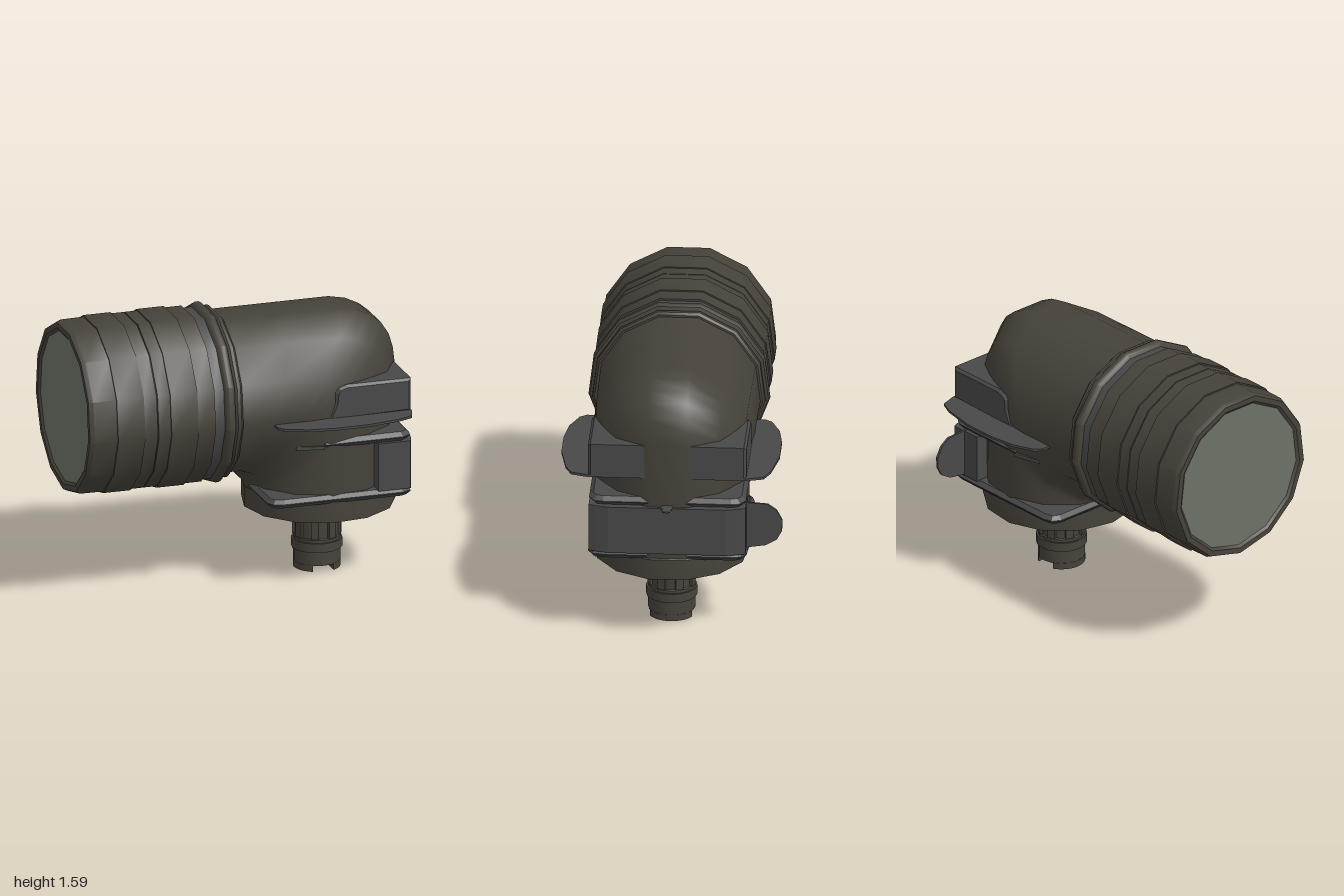
import * as THREE from 'three';
import { toCreasedNormals } from 'three/addons/utils/BufferGeometryUtils.js';

const SIDES = 13;
const mat = (color) => new THREE.MeshStandardMaterial({ color, side: THREE.DoubleSide });
const olive = mat(0x46423a);
const grey = mat(0x484848);
const glass = mat(0x6c7266);

const v2 = (list) => list.map(([x, y]) => new THREE.Vector2(x, y));

function mesh(name, geometry, material) {
  const m = new THREE.Mesh(geometry, material);
  m.name = name;
  return m;
}

// Turned part with smooth sides and sharp steps
function turned(points, sides, start) {
  return toCreasedNormals(new THREE.LatheGeometry(v2(points), sides, start), 0.6);
}

// Turned part lying along x, with a corner at the bottom
function turnedX(points) {
  return turned(points, SIDES, Math.PI / 2).rotateZ(-Math.PI / 2);
}

// Horizontal slab from half an outline (x, z), mirrored across z
function slab(half, y, height, bevel = 0) {
  const outline = [...half, ...half.map(([x, z]) => [x, -z]).reverse()];
  const geometry = new THREE.ExtrudeGeometry(new THREE.Shape(v2(outline)), {
    depth: height - 2 * bevel, bevelEnabled: bevel > 0, bevelThickness: bevel,
    bevelSize: bevel, bevelOffset: -bevel, bevelSegments: 1,
  });
  return geometry.rotateX(-Math.PI / 2).translate(0, y + bevel, 0);
}

// Elbow: rings spanned between an inner and an outer curve
function elbowGeometry() {
  const rings = [
    [-0.1, 0.627, -0.1, 1.54], [-0.04, 0.625, 0.25, 1.54], [0.0, 0.605, 0.6, 1.54],
    [0.02, 0.59, 0.70, 1.52], [0.035, 0.575, 0.78, 1.48], [0.045, 0.56, 0.84, 1.43],
    [0.055, 0.55, 0.885, 1.36], [0.06, 0.54, 0.91, 1.28], [0.065, 0.53, 0.92, 1.2],
    [0.07, 0.51, 0.92, 0.9], [0.07, 0.48, 0.92, 0.48],
  ];
  const positions = [], index = [];
  const flat = 1 + Math.cos(Math.PI / SIDES);
  rings.forEach(([ix, iy, ox, oy], i) => {
    const dx = (ox - ix) / flat, dy = (oy - iy) / flat;
    const rz = THREE.MathUtils.lerp(0.463, 0.432, i / (rings.length - 1));
    for (let k = 0; k < SIDES; k++) {
      const t = Math.PI + (k / SIDES) * Math.PI * 2;
      positions.push(ix + dx + dx * Math.cos(t), iy + dy + dy * Math.cos(t), rz * Math.sin(t));
      if (i === rings.length - 1) continue;
      const a = i * SIDES + k, b = i * SIDES + (k + 1) % SIDES;
      index.push(a, b, a + SIDES, b, b + SIDES, a + SIDES);
    }
  });
  const g = new THREE.BufferGeometry();
  g.setAttribute('position', new THREE.Float32BufferAttribute(positions, 3));
  g.setIndex(index);
  g.computeVertexNormals();
  return g;
}

function makeTube() {
  const g = new THREE.Group();
  g.name = 'tube';
  g.add(mesh('barrel', turnedX([
    [0.43, -0.985], [0.45, -1], [0.482, -1], [0.494, -0.975], [0.496, -0.84],
    [0.505, -0.84], [0.505, -0.68], [0.498, -0.68], [0.498, -0.603], [0.487, -0.603],
    [0.487, -0.597], [0.498, -0.597], [0.498, -0.525], [0.507, -0.525], [0.507, -0.365],
    [0.499, -0.365], [0.499, -0.262], [0.485, -0.262],
  ]), olive));
  g.add(mesh('recessedBand', turnedX([[0.487, -0.265], [0.487, -0.19]]), grey));
  g.add(mesh('rings', turnedX([
    [0.485, -0.205], [0.504, -0.195], [0.513, -0.18], [0.513, -0.16], [0.504, -0.145],
    [0.482, -0.138], [0.49, -0.125], [0.488, -0.105], [0.475, -0.092], [0.45, -0.09],
  ]), olive));
  const lens = new THREE.CircleGeometry(0.452, SIDES, -Math.PI / 2);
  g.add(mesh('lens', lens.rotateY(-Math.PI / 2).translate(-0.988, 0, 0), glass));
  g.position.y = 1.09;
  return g;
}

function makeBracket() {
  const g = new THREE.Group();
  g.name = 'bracket';
  // Thin wings beside the elbow
  g.add(mesh('wingPlate', slab([
    [0.1, 0.5], [0.13, 0.54], [0.25, 0.59], [0.4, 0.612], [0.6, 0.612],
    [0.8, 0.575], [0.88, 0.54], [0.908, 0.45],
  ], 1.0, 0.014), grey));
  // Block rising above the wings
  const side = new THREE.Shape(v2([
    [0.38, 1.005], [0.43, 1.03], [0.46, 1.1], [0.465, 1.16], [0.485, 1.185],
    [0.53, 1.2], [0.908, 1.2], [0.908, 1.005],
  ]));
  const block = new THREE.ExtrudeGeometry(side, {
    depth: 0.86, bevelThickness: 0.015, bevelSize: 0.015, bevelOffset: -0.015, bevelSegments: 1,
  });
  g.add(mesh('shoulderBlock', block.translate(0, 0, -0.43), grey));
  // Clamp: front wall between an upper and a lower plate
  const wall = [[0.715, 0.44], [0.905, 0.44], [0.92, 0.4], [0.937, 0.33]];
  g.add(mesh('clampWall', slab(wall, 0.55, 0.28), grey));
  g.add(mesh('upperPlate', slab([
    [0.4, 0.44], [0.86, 0.44], [0.91, 0.41], [0.92, 0.36],
  ], 0.83, 0.052, 0.024), grey));
  g.add(mesh('upperPlateEdge', slab([
    [0.15, 0.3], [0.25, 0.4], [0.4, 0.44],
  ], 0.83, 0.02), grey));
  g.add(mesh('lowerPlate', slab([
    [0.075, 0.38], [0.1, 0.43], [0.16, 0.445], [0.86, 0.445], [0.91, 0.42], [0.92, 0.36],
  ], 0.505, 0.05, 0.022), grey));
  // Thin rounded ear on the back side
  const ear = new THREE.Shape(v2([
    [0.42, 0.555], [0.55, 0.575], [0.61, 0.61], [0.64, 0.665], [0.642, 0.73],
    [0.61, 0.79], [0.56, 0.825], [0.42, 0.835],
  ]));
  const earGeometry = new THREE.ExtrudeGeometry(ear, { depth: 0.014, bevelEnabled: false });
  g.add(mesh('ear', earGeometry.rotateY(Math.PI / 2).translate(0.818, 0, 0), grey));
  // Flattened, tapered pin at the front
  const pin = new THREE.CylinderGeometry(0.022, 0.04, 0.1, 10);
  pin.rotateZ(-Math.PI / 2).scale(1, 0.2, 1).translate(0.95, 0.835, 0);
  g.add(mesh('pin', pin, grey));
  return g;
}

function makeStem() {
  const g = new THREE.Group();
  g.name = 'stem';
  g.add(mesh('shaft', turned([
    [0, 0.035], [0.133, 0.035], [0.133, 0.115], [0.144, 0.115], [0.144, 0.168],
    [0.133, 0.168], [0.133, 0.185], [0.125, 0.19], [0.125, 0.355], [0.133, 0.36],
    [0.133, 0.38], [0.122, 0.39], [0.122, 0.5],
  ], 16), olive));
  // Two end lugs leave a slot between them
  const a = Math.acos(0.06 / 0.133);
  const lug = new THREE.Shape();
  lug.absarc(0, 0, 0.133, -a, a, false);
  lug.closePath();
  for (const turn of [0, Math.PI]) {
    const geometry = new THREE.ExtrudeGeometry(lug, {
      depth: 0.037, bevelEnabled: false, curveSegments: 8,
    });
    g.add(mesh('endLug', geometry.rotateX(-Math.PI / 2).rotateY(turn), olive));
  }
  // Grip ribs
  for (let i = 0; i < 8; i++) {
    const rib = new THREE.BoxGeometry(0.03, 0.17, 0.045).translate(0.122, 0.275, 0);
    g.add(mesh('gripRib', rib.rotateY((i + 0.5) * Math.PI / 4), olive));
  }
  g.position.x = 0.497;
  return g;
}

export function createModel() {
  const model = new THREE.Group();
  model.name = 'elbowUnit';
  model.add(makeTube(), mesh('elbow', elbowGeometry(), olive), makeBracket(), makeStem());
  // Hollow base collar with a recessed floor
  const collar = turned([[0.405, 0.5], [0.405, 0.39], [0.436, 0.39], [0.436, 0.51], [0.41, 0.53]],
    SIDES, -Math.PI / 2);
  model.add(mesh('baseCollar', collar.translate(0.505, 0, 0), olive));
  const floor = new THREE.CircleGeometry(0.408, SIDES, Math.PI).rotateX(Math.PI / 2);
  model.add(mesh('baseFloor', floor.translate(0.505, 0.49, 0), grey));
  for (const part of model.children) part.position.z = 0.015;
  return model;
}
